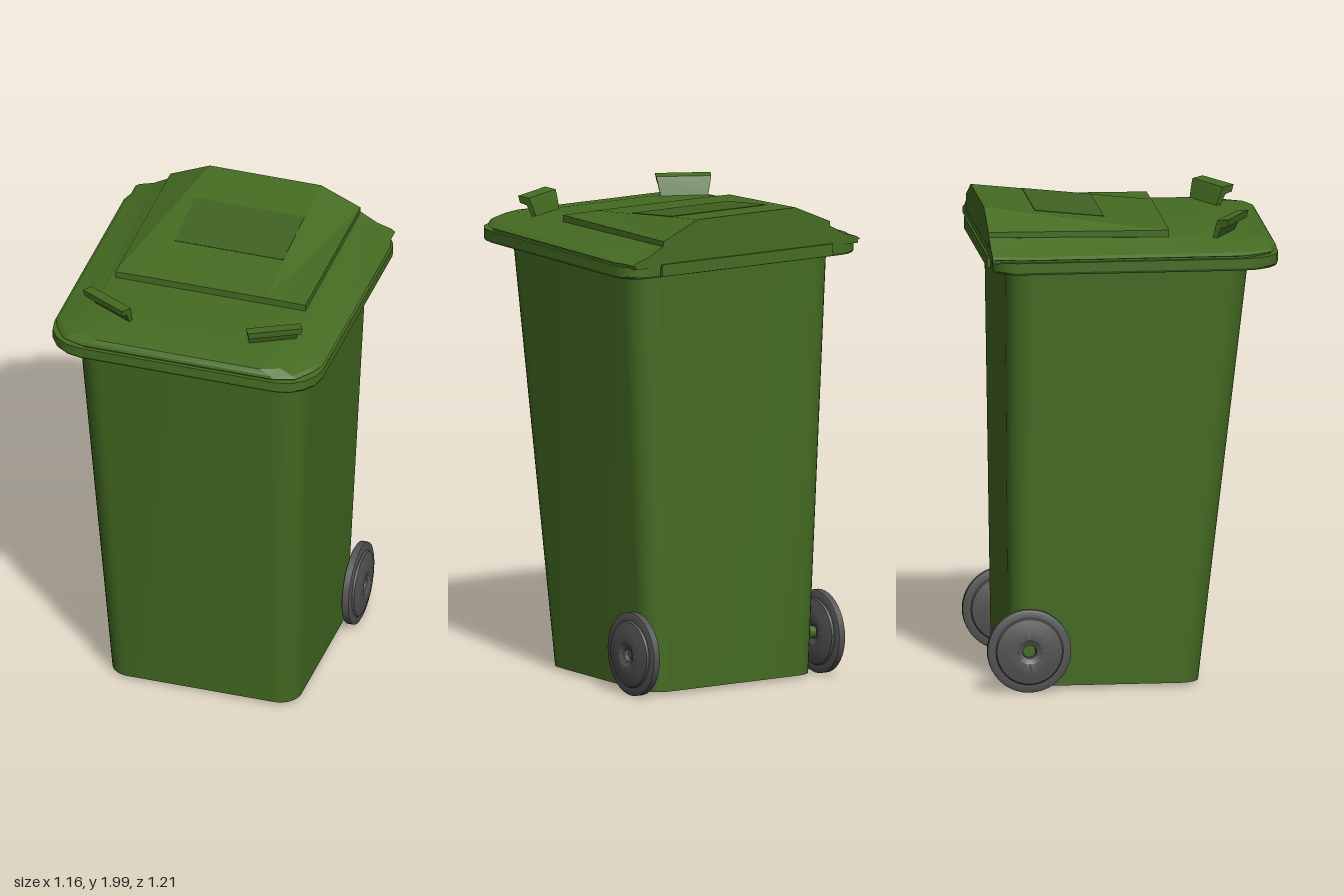
import * as THREE from 'three';
import { toCreasedNormals } from 'three/addons/utils/BufferGeometryUtils.js';

// Closed solid through rings of equal point count; each ring runs
// counter-clockwise when seen from the last ring's side.
function loft(rings, crease = 0.6) {
  const n = rings[0].length;
  const positions = rings.flat(2);
  const index = [];
  for (let r = 0; r < rings.length - 1; r++) {
    for (let i = 0; i < n; i++) {
      const j = (i + 1) % n;
      const a = r * n + i, b = r * n + j, c = b + n, d = a + n;
      index.push(a, b, c, a, c, d);
    }
  }
  const top = (rings.length - 1) * n;
  for (let i = 1; i < n - 1; i++) {
    index.push(0, i + 1, i);
    index.push(top, top + i, top + i + 1);
  }
  const geometry = new THREE.BufferGeometry();
  geometry.setAttribute('position', new THREE.Float32BufferAttribute(positions, 3));
  geometry.setIndex(index);
  return toCreasedNormals(geometry, crease);
}

// Rounded rectangle at height y, with separate front and back radii
function roundRect(y, half, front, back, rFront, rBack, steps = 8) {
  const points = [];
  for (let corner = 0; corner < 4; corner++) {
    const isBack = corner < 2;
    const r = isBack ? rBack : rFront;
    const cx = (corner === 0 || corner === 3 ? 1 : -1) * (half - r);
    const cz = isBack ? back + r : front - r;
    for (let i = 0; i <= steps; i++) {
      const a = (corner + i / steps) * Math.PI / 2;
      points.push([cx + r * Math.cos(a), y, cz - r * Math.sin(a)]);
    }
  }
  return points;
}

// Lid outline, scaled inwards at the sides and front; lift raises the back
const lidSide = [[0.41, 0.6], [0.5, 0.57], [0.55, 0.5], [0.575, 0.44],
  [0.575, -0.48], [0.56, -0.53], [0.56, -0.59]];
function lidRing(y, sx, sz, lift = 0) {
  const place = (x, z) => {
    const pz = z > 0 ? z * sz : z;
    return [x * sx, y + lift * (0.45 - pz), pz];
  };
  return [
    ...lidSide.map(([x, z]) => place(x, z)),
    ...lidSide.slice().reverse().map(([x, z]) => place(-x, z)),
  ];
}

// Cross-section of the raised lid panel
function panelRing(z, centreY, edgeY) {
  return [[-0.41, 1.86, z], [0.41, 1.86, z], [0.41, edgeY, z],
    [0.24, centreY, z], [-0.24, centreY, z], [-0.41, edgeY, z]];
}

export function createModel() {
  const model = new THREE.Group();
  const green = new THREE.MeshStandardMaterial({ color: 0x456c22 });
  green.name = 'bin green';
  const darkGreen = new THREE.MeshStandardMaterial({ color: 0x416222 });
  darkGreen.name = 'dark green';
  const rubber = new THREE.MeshStandardMaterial({ color: 0x535353 });
  rubber.name = 'wheel grey';

  const add = (name, geometry, material, parent = model) => {
    const mesh = new THREE.Mesh(geometry, material);
    mesh.name = name;
    parent.add(mesh);
    return mesh;
  };

  // Tapered body
  add('body', loft([
    roundRect(0.02, 0.405, 0.285, -0.5, 0.09, 0.09),
    roundRect(1.79, 0.49, 0.485, -0.52, 0.11, 0.11),
  ]), green);

  // Rim under the lid
  add('rim', loft([
    roundRect(1.775, 0.575, 0.6, -0.58, 0.16, 0.1, 4),
    roundRect(1.785, 0.58, 0.605, -0.585, 0.16, 0.1, 4),
    roundRect(1.825, 0.58, 0.605, -0.585, 0.16, 0.1, 4),
  ], 0.4), green);
  add('hingeBar', new THREE.BoxGeometry(0.84, 0.05, 0.03), green)
    .position.set(0, 1.805, -0.584);

  // Lid with sloping shoulders and a raised panel
  add('lid', loft([
    lidRing(1.82, 0.98, 0.98),
    lidRing(1.833, 0.98, 0.985),
    lidRing(1.836, 1, 1),
    lidRing(1.848, 0.97, 0.995),
    lidRing(1.866, 0.86, 0.975),
    lidRing(1.885, 0.74, 0.75, 0.018),
  ], 0.3), green);
  add('lidPanel', loft([
    panelRing(-0.592, 2.0, 1.925),
    panelRing(0.155, 1.92, 1.918),
  ], 0.2), green);
  const patch = add('lidPatch', new THREE.BoxGeometry(0.47, 0.004, 0.287), darkGreen);
  patch.position.set(0, 1.962, -0.2375);
  patch.rotation.x = Math.atan2(0.08, 0.745);

  // Two angled lid handles: a leaning stem with an upright lip
  const handleRing = (half, flare) => [[0, 1.87], [0.018, 1.87], [0.045, 1.93], [0.075, 1.938],
    [0.08, 1.968], [0.03, 1.962], [0.02, 1.935]]
    .map(([d, y]) => [half + flare * (y - 1.87), y, d]);
  for (const side of [1, -1]) {
    const handle = add(side > 0 ? 'leftHandle' : 'rightHandle',
      loft([handleRing(0.095, 0.2).reverse(), handleRing(-0.095, -0.2).reverse()].reverse(), 0.2), green);
    handle.position.set(side * 0.335, 0, 0.375);
    handle.rotation.y = side * 0.48;
  }

  // Wheels: thin tyre, domed disc and an open hub around the axle
  const half = [[0.028, 0.03], [0.045, 0.036], [0.05, 0.04], [0.09, 0.037],
    [0.135, 0.026], [0.14, 0.018], [0.165, 0.018], [0.173, 0.014]];
  const profile = [
    ...half.map(([r, h]) => new THREE.Vector2(r, -h)),
    ...half.slice().reverse().map(([r, h]) => new THREE.Vector2(r, h)),
    new THREE.Vector2(half[0][0], -half[0][1]),
  ];
  const wheelGeometry = toCreasedNormals(new THREE.LatheGeometry(profile, 40), 0.5);
  wheelGeometry.rotateZ(Math.PI / 2);
  for (const [name, x] of [['leftWheel', 0.45], ['rightWheel', -0.463]]) {
    add(name, wheelGeometry, rubber).position.set(x, 0.18, -0.43);
  }
  const axle = new THREE.CylinderGeometry(0.026, 0.026, 0.93, 20);
  axle.rotateZ(Math.PI / 2);
  add('axle', axle, green).position.set(-0.006, 0.18, -0.43);

  return model;
}
